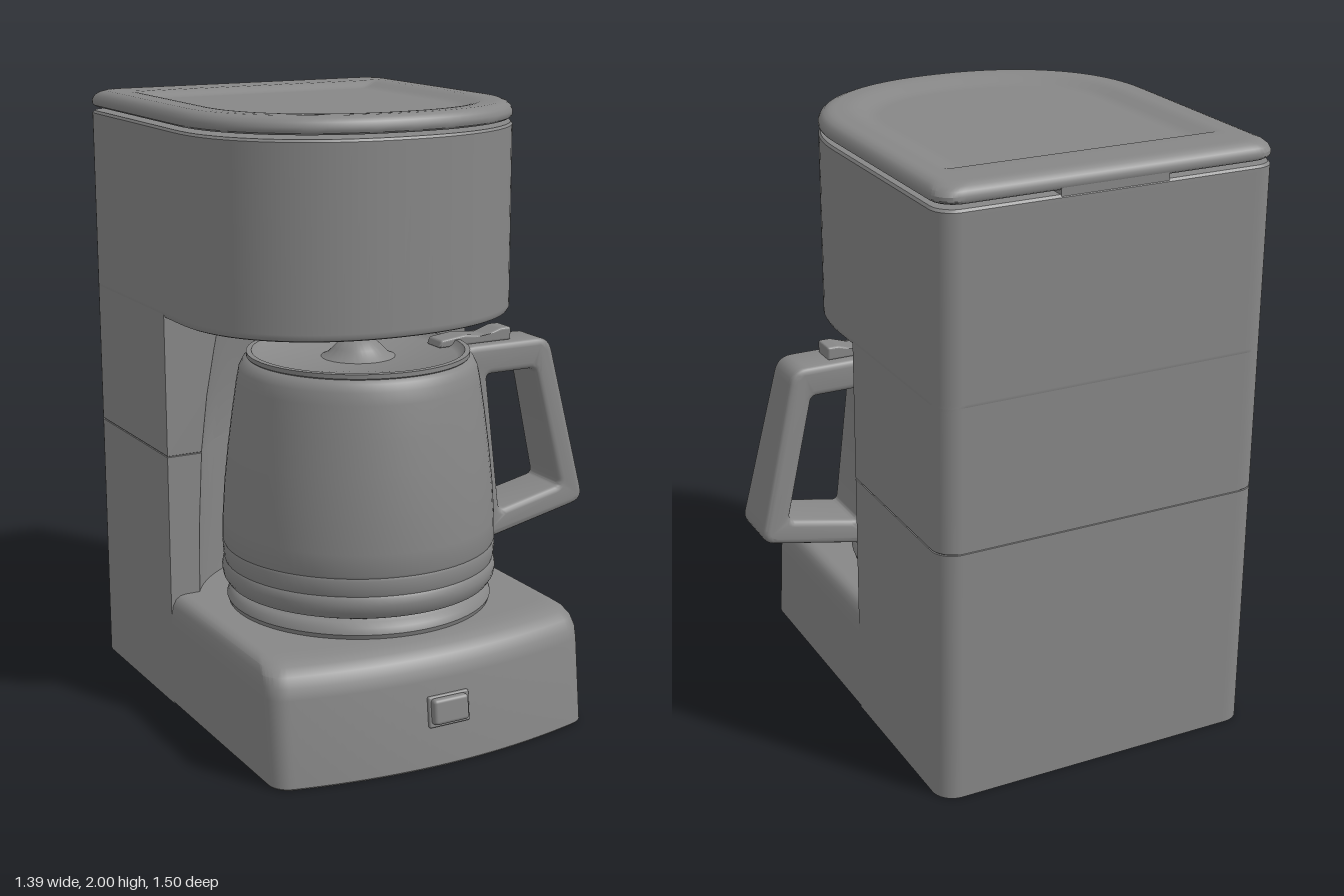
import * as THREE from 'three';
import { toCreasedNormals, mergeVertices } from 'three/addons/utils/BufferGeometryUtils.js';
import { RoundedBoxGeometry } from 'three/addons/geometries/RoundedBoxGeometry.js';

const material = new THREE.MeshStandardMaterial({ color: 0x878787, side: THREE.DoubleSide });
const HALF = 0.565;      // half width of the housing
const BACK = -0.75;      // rear wall
const COLUMN_Z = -0.12;  // front of the rear column
const POT_Z = 0.14;      // axis of the carafe

function part(name, geometry, x = 0, y = 0, z = 0) {
  const mesh = new THREE.Mesh(geometry, material);
  mesh.name = name;
  mesh.position.set(x, y, z);
  return mesh;
}

// Skin a stack of [y, outline] sections; outlines run counterclockwise seen from above
function loft(sections, crease = 0.5) {
  const n = sections[0][1].length, pos = [], index = [];
  for (const [y, outline] of sections) for (const [x, z] of outline) pos.push(x, y, z);
  for (let i = 0; i < sections.length - 1; i++) {
    for (let j = 0; j < n; j++) {
      const a = i * n + j, b = i * n + (j + 1) % n;
      index.push(a, b, b + n, a, b + n, a + n);
    }
  }
  const cap = (i, top) => {
    const [y, outline] = sections[i], c = pos.length / 3;
    const zs = outline.map((p) => p[1]);
    pos.push(0, y, (Math.min(...zs) + Math.max(...zs)) / 2);
    for (let j = 0; j < n; j++) {
      const a = i * n + j, b = i * n + (j + 1) % n;
      if (top) index.push(c, a, b); else index.push(c, b, a);
    }
  };
  cap(0, false);
  cap(sections.length - 1, true);
  const g = new THREE.BufferGeometry();
  g.setAttribute('position', new THREE.Float32BufferAttribute(pos, 3));
  g.setIndex(index);
  return toCreasedNormals(g, crease);
}

// Two rounded rear corners, from right to left; a point just past each end keeps the walls flat
function rearCorners(hw, zb, r) {
  const pts = [], past = 0.012;
  for (const side of [1, -1]) {
    const corner = [];
    for (let k = 0; k <= 8; k++) {
      const a = k / 8 * Math.PI / 2;
      corner.push([side * (hw - r + r * Math.cos(a)), zb + r - r * Math.sin(a)]);
    }
    corner.unshift([side * hw, zb + r + past]);
    corner.push([side * (hw - r - past), zb]);
    pts.push(...(side > 0 ? corner : corner.reverse()));
  }
  return pts;
}

// Square back, full rounded front
function headOutline(hw, zb, zf, r = 0.07) {
  const pts = rearCorners(hw, zb, r), power = 2 / 2.2;
  pts.push([-hw, -0.012]);
  for (let k = 0; k <= 48; k++) {
    const t = k / 48 * Math.PI, c = Math.cos(t);
    pts.push([-hw * Math.sign(c) * Math.abs(c) ** power, zf * Math.abs(Math.sin(t)) ** power]);
  }
  pts.push([hw, -0.012]);
  return pts;
}
const headInset = (d) => headOutline(HALF - d, BACK + d, 0.5 - d);

// Column with a round hollow of radius R, or a flat front when hollow is false
function columnOutline(R, hollow, d = 0) {
  const hw = HALF - d, zf = COLUMN_Z - d, gap = POT_Z - zf;
  const pts = rearCorners(hw, BACK + d, 0.07);
  const max = Math.acos(gap / R);
  pts.push([-hw, zf]);
  for (let k = 0; k <= 32; k++) {
    const a = (k / 16 - 1) * max;
    pts.push([R * Math.sin(a), hollow ? POT_Z - R * Math.cos(a) : zf]);
  }
  pts.push([hw, zf]);
  return pts;
}

// Base with a bowed front and rounded front corners
function baseOutline(d, zf) {
  const hw = HALF - d, r = 0.05, zb = COLUMN_Z - 0.005;
  const pts = [[hw, zb], [-hw, zb]];
  for (let k = 0; k <= 48; k++) {
    const x = -hw * Math.cos(k / 48 * Math.PI);
    const over = Math.max(0, Math.abs(x) - (hw - r));
    const drop = r - Math.sqrt(Math.max(0, r * r - over * over));
    pts.push([x, zf - 0.08 * (x / hw) ** 2 - drop]);
  }
  return pts;
}

function lathe(points) {
  const g = new THREE.LatheGeometry(points.map(([r, y]) => new THREE.Vector2(r, y)), 72);
  g.deleteAttribute('uv');
  g.deleteAttribute('normal');
  return toCreasedNormals(mergeVertices(g), 0.6);
}

// Polygon with every corner rounded by r
function roundedPath(path, pts, r) {
  const v = pts.map(([x, y]) => new THREE.Vector2(x, y)), n = v.length;
  v.forEach((p, i) => {
    const a = v[(i + n - 1) % n].clone().sub(p).setLength(r).add(p);
    const b = v[(i + 1) % n].clone().sub(p).setLength(r).add(p);
    if (i === 0) path.moveTo(a.x, a.y); else path.lineTo(a.x, a.y);
    path.quadraticCurveTo(p.x, p.y, b.x, b.y);
  });
  path.closePath();
  return path;
}

function extrudeCentred(shape, depth, bevel) {
  const g = new THREE.ExtrudeGeometry(shape, {
    depth: depth - 2 * bevel, bevelThickness: bevel, bevelSize: bevel, bevelOffset: -bevel,
    bevelSegments: 4, curveSegments: 6,
  });
  return g.translate(0, 0, bevel - depth / 2);
}

function carafe() {
  const group = new THREE.Group();
  group.name = 'carafe';
  group.position.z = POT_Z;
  group.add(part('carafeBody', lathe([
    [0, 0.44], [0.41, 0.44], [0.435, 0.45], [0.448, 0.47], [0.452, 0.495], [0.448, 0.515], [0.443, 0.523],
    [0.446, 0.532], [0.449, 0.575], [0.446, 0.583], [0.449, 0.591], [0.447, 0.66], [0.439, 0.78],
    [0.426, 0.9], [0.41, 1.02], [0.395, 1.12], [0.387, 1.16], [0.375, 1.184], [0.358, 1.194],
    [0.362, 1.198], [0.362, 1.212], [0.345, 1.213], [0.335, 1.2], [0.32, 1.19], [0, 1.19],
  ])));
  group.add(part('carafeLidKnob', lathe([
    [0.13, 1.185], [0.1, 1.2], [0.08, 1.22], [0.06, 1.24], [0.035, 1.25], [0, 1.253],
  ])));

  // Handle: a leaning loop, thicker towards the bottom
  const loop = roundedPath(new THREE.Shape(),
    [[0.35, 1.192], [0.42, 0.518], [0.837, 0.605], [0.695, 1.192]], 0.05);
  loop.holes.push(roundedPath(new THREE.Path(),
    [[0.445, 1.09], [0.635, 1.09], [0.735, 0.672], [0.492, 0.62]], 0.02));
  const handle = extrudeCentred(loop, 0.2, 0.022);
  const p = handle.attributes.position;
  for (let i = 0; i < p.count; i++) p.setZ(i, p.getZ(i) * (1.06 - 0.28 * (p.getY(i) - 0.52) / 0.67));
  handle.deleteAttribute('normal');
  group.add(part('handle', toCreasedNormals(handle, 0.6)));

  // Thumb lever on the lid
  const lever = roundedPath(new THREE.Shape(), [[0.28, 1.19], [0.56, 1.19], [0.56, 1.235],
    [0.52, 1.235], [0.46, 1.215], [0.38, 1.225], [0.29, 1.215]], 0.008);
  group.add(part('lidLever', extrudeCentred(lever, 0.085, 0.008)));
  return group;
}

export function createModel() {
  const model = new THREE.Group();
  model.name = 'coffeeMaker';
  const body = new THREE.Group();
  body.name = 'body';
  body.position.x = -0.135;
  model.add(body);

  // Housing: base, hollowed column with a seam, overhanging head
  body.add(part('base', loft([
    [0, baseOutline(0.004, 0.733)], [0.006, baseOutline(0, 0.737)], [0.28, baseOutline(0, 0.706)],
    [0.315, baseOutline(0.001, 0.698)], [0.345, baseOutline(0.006, 0.68)],
    [0.366, baseOutline(0.017, 0.65)], [0.377, baseOutline(0.032, 0.615)],
    [0.38, baseOutline(0.05, 0.575)], [0.38, baseOutline(0.06, 0.56)],
  ])));
  const seam = 0.003;
  body.add(part('column', loft([
    [0, columnOutline(0.53, false)], [0.38, columnOutline(0.53, false)],
    [0.38, columnOutline(0.53, true)], [0.6, columnOutline(0.527, true)],
    [0.858, columnOutline(0.515, true)], [0.8595, columnOutline(0.515, true, seam)],
    [0.8615, columnOutline(0.515, true, seam)], [0.863, columnOutline(0.515, true)],
    [1.05, columnOutline(0.495, true)], [1.2, columnOutline(0.471, true)], [1.322, columnOutline(0.45, true)],
    [1.322, columnOutline(0.45, false)], [1.334, columnOutline(0.45, false)],
  ])));
  body.add(part('head', loft([
    [1.32, headInset(0.014)], [1.324, headInset(0.005)], [1.334, headInset(0)], [1.344, headInset(0)],
    [1.914, headInset(0)], [1.924, headInset(0)], [1.932, headInset(0.006)],
  ])));

  // Lid with a shallow dished top, hinged at the back
  body.add(part('lid', loft([
    [1.944, headInset(0.012)], [1.95, headInset(0.003)], [1.956, headInset(0)], [1.968, headInset(0)],
    [1.982, headInset(0.006)], [1.993, headInset(0.018)], [1.999, headInset(0.035)],
    [2, headInset(0.05)], [2, headInset(0.06)],
    [2, headOutline(0.475, -0.59, 0.43, 0.02)], [1.999, headOutline(0.462, -0.575, 0.415, 0.02)],
    [1.994, headOutline(0.442, -0.562, 0.39, 0.015)], [1.984, headOutline(0.415, -0.547, 0.355, 0.01)],
    [1.979, headOutline(0.395, -0.535, 0.33, 0.01)], [1.978, headOutline(0.375, -0.52, 0.31, 0.01)],
    [1.978, headOutline(0.365, -0.51, 0.3, 0.01)],
  ])));
  body.add(part('lidHinge', new THREE.BoxGeometry(0.36, 0.03, 0.045), 0, 1.94, BACK + 0.0245));

  // Drip outlet and warming plate
  body.add(part('dripOutlet', lathe([
    [0, 1.243], [0.035, 1.247], [0.065, 1.26], [0.088, 1.282], [0.1, 1.31], [0.1, 1.33],
  ]), 0, 0, POT_Z));
  body.add(part('warmingPlate', lathe([
    [0.43, 0.375], [0.437, 0.395], [0.43, 0.415], [0.415, 0.43], [0.395, 0.438], [0.39, 0.445], [0, 0.445],
  ]), 0, 0, POT_Z));

  body.add(carafe());

  // Power switch
  const power = new THREE.Group();
  power.name = 'powerSwitch';
  power.position.set(0, 0.18, 0.712);
  power.rotation.x = -0.11;
  power.add(part('switchFrame', new RoundedBoxGeometry(0.145, 0.1, 0.03, 3, 0.006), 0.003, 0, 0));
  power.add(part('switchButton', new RoundedBoxGeometry(0.125, 0.082, 0.05, 4, 0.012), 0, 0.003, 0.013));
  body.add(power);
  return model;
}
